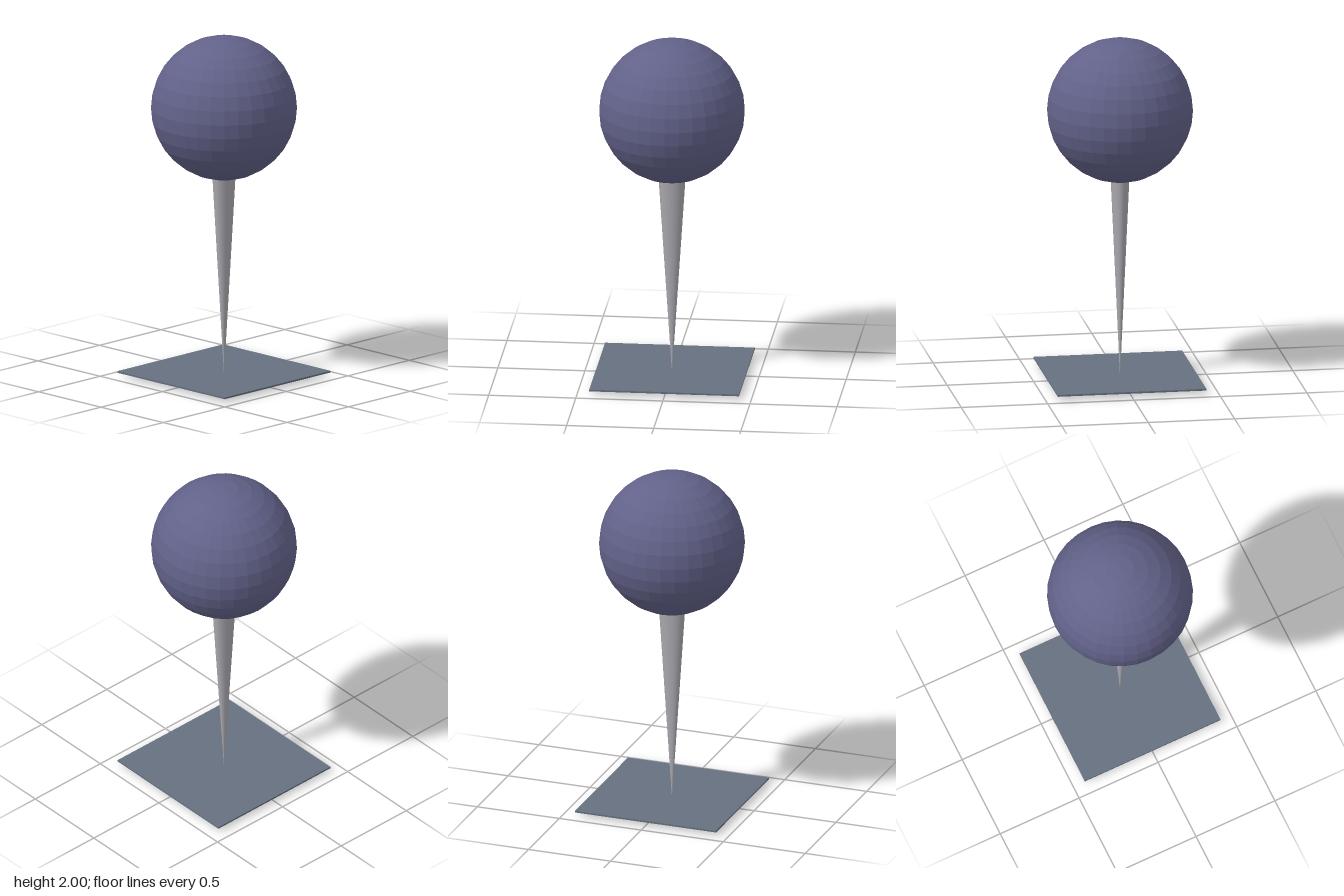
import * as THREE from 'three';

const material = (color, flatShading = false) =>
  new THREE.MeshStandardMaterial({ color, flatShading });

function part(name, geometry, mat, y) {
  const mesh = new THREE.Mesh(geometry, mat);
  mesh.name = name;
  mesh.position.y = y;
  return mesh;
}

export function createModel() {
  const model = new THREE.Group();
  model.name = 'pin';

  // Faceted ball head
  model.add(part('head', new THREE.SphereGeometry(0.417, 32, 16), material(0x62628a, true), 1.583));

  // Tapered needle with an oval section, point down, its top buried in the head
  const height = 1.25;
  const needle = part('needle', new THREE.CylinderGeometry(0.056, 0, height, 32), material(0xaaa8ae), height / 2);
  needle.scale.z = 1.47;
  model.add(needle);

  // Thin square plate just above the needle's point
  model.add(part('basePlate', new THREE.BoxGeometry(0.86, 0.01, 0.86), material(0x66707f), 0.025));

  return model;
}
